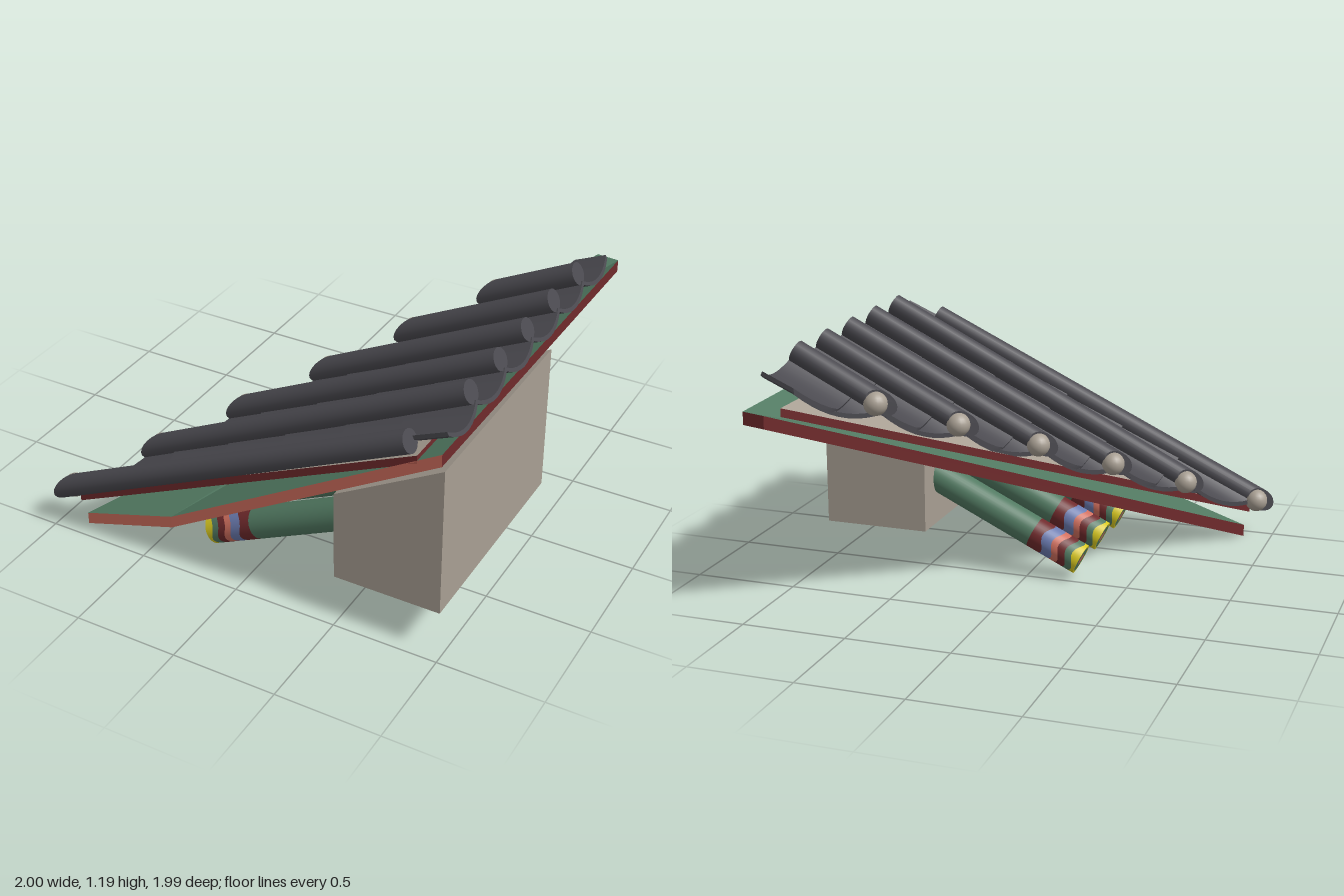
import * as THREE from 'three';
import { toCreasedNormals } from 'three/addons/utils/BufferGeometryUtils.js';

const mat = (name, color) => new THREE.MeshStandardMaterial({ name, color });

// Plan line of the hip: x where every tile is mitred
const hipX = (z) => -1 + (0.99 - z) * 1.034;

function fromTriangles(tris) {
  const g = new THREE.BufferGeometry();
  g.setAttribute('position', new THREE.Float32BufferAttribute(tris.flat(2), 3));
  g.computeVertexNormals();
  return g;
}

// Joins two rings of points into a closed solid running toward +x
function loft(low, high) {
  const n = low.length, tris = [];
  const quad = (a, b, c, d) => tris.push([a, b, c], [a, c, d]);
  for (let i = 0; i < n; i++) {
    const j = (i + 1) % n;
    quad(low[i], low[j], high[j], high[i]);
  }
  for (let i = 0; i < n / 2 - 1; i++) {
    quad(high[i], high[i + 1], high[n - 2 - i], high[n - 1 - i]);
    quad(low[n - 1 - i], low[n - 2 - i], low[i + 1], low[i]);
  }
  return toCreasedNormals(fromTriangles(tris), 0.7);
}

// Slab following plan corners, with separate top, underside and edges
function slab(corners, faces, thick) {
  const down = ([x, y, z]) => [x, y - thick, z];
  const top = fromTriangles(faces.map((f) => f.map((i) => corners[i])));
  const under = fromTriangles(faces.map((f) => [f[0], f[2], f[1]].map((i) => down(corners[i]))));
  const edges = corners.map((a, i) => {
    const b = corners[(i + 1) % corners.length];
    return fromTriangles([[a, down(a), down(b)], [a, down(b), b]]);
  });
  return { top, under, edges };
}

export function createModel() {
  const root = new THREE.Group();
  root.name = 'roofCorner';
  const tile = mat('charcoalTile', 0x4b4a50);
  const stone = mat('beige', 0xa89f93);
  const green = mat('green', 0x527a62);
  const red = mat('darkRed', 0x702a2c);
  const salmon = mat('salmon', 0xd06f5e);
  const blue = mat('blue', 0x6b7bb0);
  const yellow = mat('yellow', 0xd8c820);

  const add = (parent, name, geometry, material) => {
    const m = new THREE.Mesh(geometry, material);
    m.name = name;
    parent.add(m);
    return m;
  };
  const group = (name) => {
    const g = new THREE.Group();
    g.name = name;
    root.add(g);
    return g;
  };

  // Wall block with a top that follows the roof slope
  const wallShape = new THREE.Shape([
    [0.47, 0.22], [0.98, 0.22], [0.98, 0.95], [0.47, 0.66],
  ].map(([x, y]) => new THREE.Vector2(x, y)));
  const wallGeo = new THREE.ExtrudeGeometry(wallShape, { depth: 1.07, bevelEnabled: false });
  wallGeo.translate(0, 0, -0.13);
  add(root, 'wallBlock', wallGeo, stone);

  // Lower eave board, bent along its front edge
  const eave = group('eaveBoard');
  const board = slab([
    [-0.865, 0.065, 0.92], [-0.38, 0.225, 0.93], [0.96, 1.02, 0.93],
    [0.96, 0.99, -0.98], [0.85, 0.985, -1],
  ], [[0, 1, 4], [1, 2, 3], [1, 3, 4]], 0.06);
  add(eave, 'boardTop', board.top, green);
  add(eave, 'boardUnderside', board.under, stone);
  board.edges.forEach((g, i) => add(eave, i < 2 ? 'frontFascia' : 'redEdge', g, i < 2 ? salmon : red));

  // Upper board directly under the tiles
  const deck = group('tileDeck');
  const deckY = (x) => 0.18 + 0.462 * (x + 0.88);
  const plate = slab([[-0.89, 0.93], [0.85, 0.93], [0.85, -0.84]]
    .map(([x, z]) => [x, deckY(x), z]), [[0, 1, 2]], 0.04);
  add(deck, 'deckTop', plate.top, stone);
  add(deck, 'deckUnderside', plate.under, red);
  plate.edges.forEach((g) => add(deck, 'deckEdge', g, red));

  // Ring of tile points at x, from profile [z, h]; h is measured off the slope
  const ring = (profile, y0, slope, x, lift) => profile.map(([z, h]) => {
    const c = 1 / Math.hypot(1, slope), s = slope * c;
    const px = Math.max(x, hipX(z) + s * h);
    const k = h + lift(px);
    return [px - s * k, y0 + slope * px + c * k, z];
  });
  const flat = () => 0;

  // Round cover tiles with a pale ball at each hip end
  const covers = group('coverTiles');
  const circle = (zc, r) => Array.from({ length: 20 }, (_, i) => {
    const a = (i / 20) * Math.PI * 2;
    return [zc + r * Math.sin(a), r * Math.cos(a)];
  });
  const rows = [0.645, 0.36, 0.08, -0.205, -0.485];
  const cover = (name, z, y0, slope, xEnd) => {
    const p = circle(z, 0.053);
    add(covers, name, loft(ring(p, y0, slope, -2, flat), ring(p, y0, slope, xEnd, flat)), tile);
    const ball = add(covers, 'hipBall', new THREE.SphereGeometry(0.056, 20, 14), stone);
    const bz = z - 0.02;
    ball.position.set(hipX(bz), y0 + slope * hipX(bz) - 0.01, bz);
  };
  rows.forEach((z) => cover('coverTile', z, 0.68, 0.5, 0.945));
  cover('frontEdgeTile', 0.937, 0.655, 0.475, 0.82);

  // Concave trough tiles, overlapping up the slope
  const troughs = group('troughTiles');
  const bounds = [0.91, ...rows, -0.77];
  const seams = [-1.2, -0.5, -0.2, 0.1, 0.4, 0.68, 0.99];
  for (let b = 0; b < bounds.length - 1; b++) {
    const mid = (bounds[b] + bounds[b + 1]) / 2, half = (bounds[b] - bounds[b + 1]) / 2;
    const arc = Array.from({ length: 11 }, (_, i) => {
      const u = i / 5 - 1;
      return [mid + u * half, 0.05 * u * u];
    });
    const profile = [...arc, ...arc.map(([z, h]) => [z, h - 0.02]).reverse()];
    for (let s = 0; s < seams.length - 1; s++) {
      const [x0, x1] = [seams[s], seams[s + 1]];
      if (hipX(bounds[b]) > x1) continue;
      const lift = (x) => 0.012 * Math.min(1, Math.max(0, (x1 - x) / (x1 - x0)));
      add(troughs, 'troughTile', loft(
        ring(profile, 0.6, 0.48, x0, lift), ring(profile, 0.6, 0.48, x1, lift)), tile);
    }
  }

  // Round rafters with painted wavy bands at the free end
  const R = 0.076;
  const wave = (s, a) => (s > 0 && s < 0.25 ? s + 0.014 * Math.cos(3 * a) : s);
  const band = (s0, s1) => {
    const g = new THREE.CylinderGeometry(R, R, 1, 36, 1, true);
    const p = g.attributes.position;
    for (let i = 0; i < p.count; i++) {
      const a = Math.atan2(p.getZ(i), p.getX(i));
      p.setY(i, wave(p.getY(i) > 0 ? s1 : s0, a));
    }
    return g;
  };
  const bands = [
    ['yellowTip', 0, 0.03, yellow], ['greenBand', 0.03, 0.065, green],
    ['redBand', 0.065, 0.105, red], ['salmonBand', 0.105, 0.14, salmon],
    ['blueBand', 0.14, 0.195, blue], ['redCollar', 0.195, 0.26, red],
    ['rafterShaft', 0.26, 0.9, green],
  ];
  const capRings = [[0, 0.03, salmon], [0.03, 0.064, green], [0.064, R, yellow]];
  for (const z of [0.755, 0.415, 0.06]) {
    const rafter = group('rafter');
    for (const [name, s0, s1, m] of bands) add(rafter, name, band(s0, s1), m);
    for (const [r0, r1, m] of capRings) {
      add(rafter, 'rafterCap', new THREE.RingGeometry(r0, r1, 36).rotateX(Math.PI / 2), m);
    }
    rafter.position.set(-0.255, 0.1, z);
    rafter.rotation.z = Math.atan(0.478) - Math.PI / 2;
  }

  return root;
}
